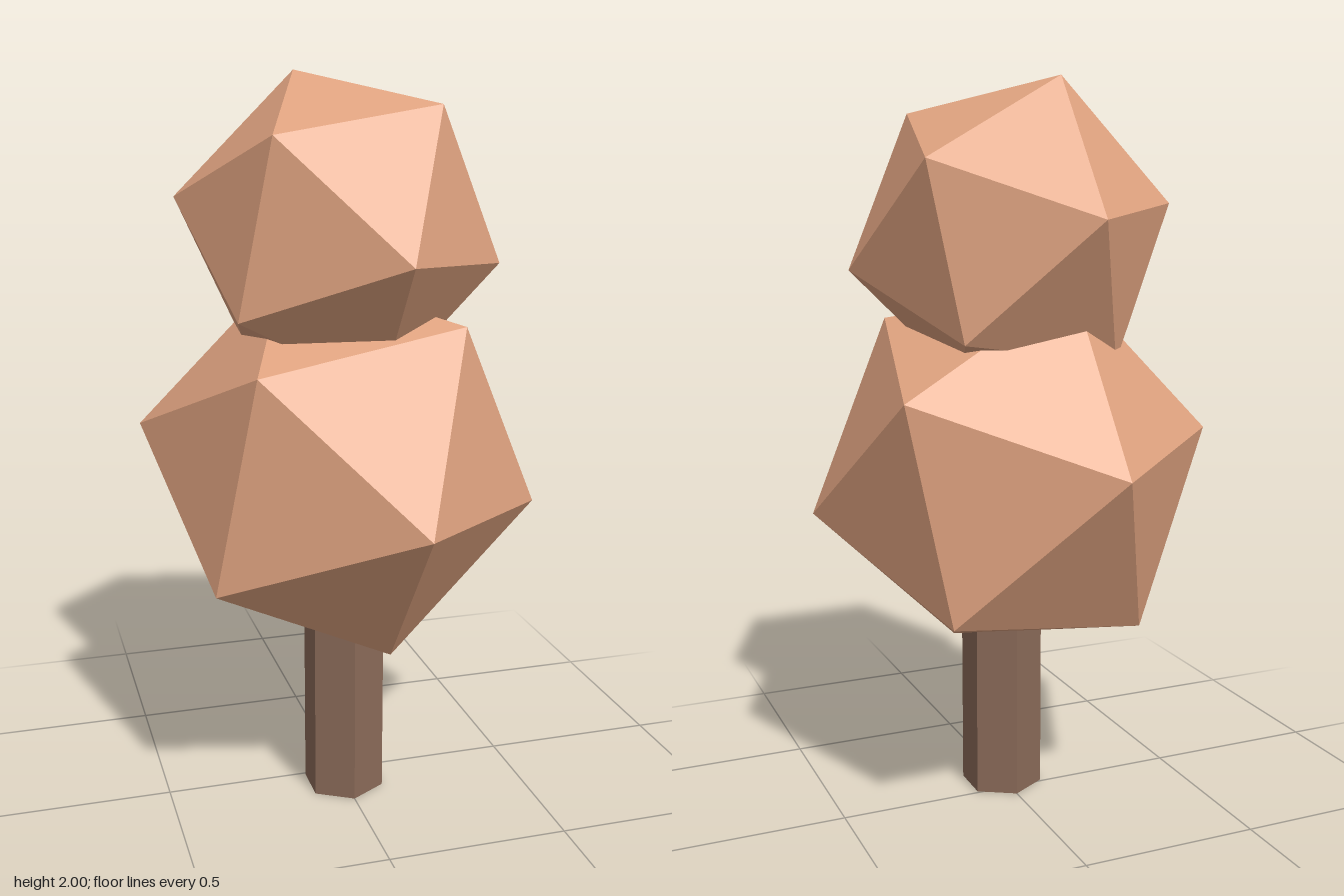
import * as THREE from 'three';

const material = (color) => new THREE.MeshStandardMaterial({ color, flatShading: true });

// Tilt shared by both crowns: the icosahedron's top edge runs from a to b.
function crownTilt() {
  const a = new THREE.Vector3(-0.188, 0.93, -0.314).normalize();
  const b = new THREE.Vector3(0.493, 0.735, 0.466).normalize();
  const x = b.clone().sub(a).normalize();
  const y = a.clone().add(b).normalize();
  const z = x.clone().cross(y);
  return new THREE.Matrix4().makeBasis(x, y, z);
}

export function createModel() {
  const tree = new THREE.Group();
  tree.name = 'tree';

  // Hexagonal trunk, its top hidden inside the lower crown
  const trunkHeight = 0.7;
  const trunk = new THREE.Mesh(
    new THREE.CylinderGeometry(0.115, 0.115, trunkHeight, 6),
    material(0x8a6a58)
  );
  trunk.name = 'trunk';
  trunk.position.set(0, trunkHeight / 2, 0.065);
  tree.add(trunk);

  // Two faceted crowns, one above the other
  const leaves = material(0xe0a380);
  const tilt = crownTilt();
  for (const [name, radius, height] of [
    ['lowerCrown', 0.558, 0.948],
    ['upperCrown', 0.443, 1.59],
  ]) {
    const crown = new THREE.Mesh(new THREE.IcosahedronGeometry(radius, 0), leaves);
    crown.name = name;
    crown.quaternion.setFromRotationMatrix(tilt);
    crown.position.y = height;
    tree.add(crown);
  }

  return tree;
}
